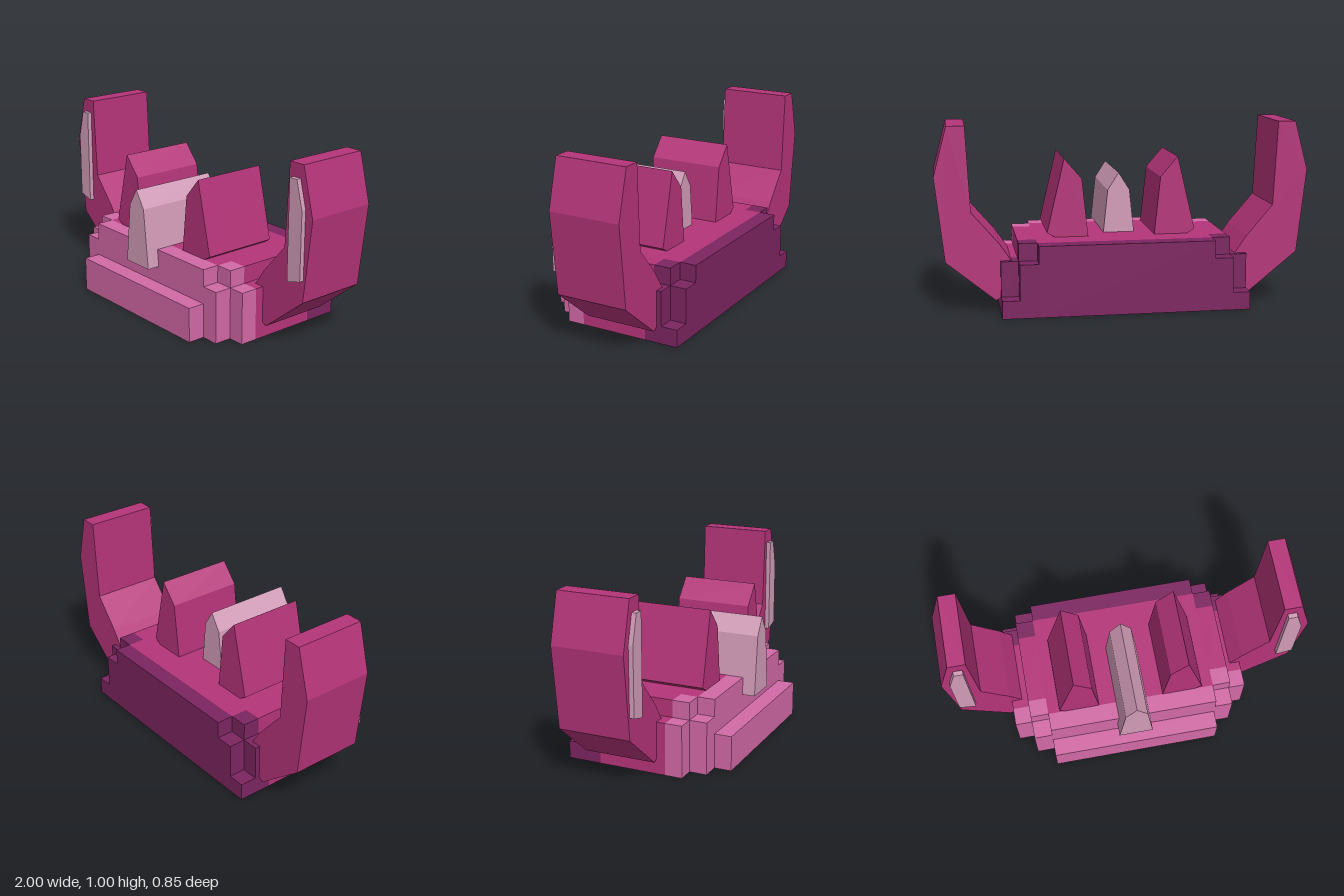
import * as THREE from 'three';

const mat = (name, color) => {
  const m = new THREE.MeshStandardMaterial({ color });
  m.name = name;
  return m;
};

export function createModel() {
  const magenta = mat('magenta', 0xb43479);
  const pink = mat('pink', 0xd269a6);
  const plum = mat('plum', 0x7c2460);
  const mauve = mat('paleMauve', 0xd29cb8);

  const model = new THREE.Group();
  model.name = 'crown';
  const BOTTOM = 0.384, SHOULDER = 0.67, TOP = 0.765;

  function part(name) {
    const g = new THREE.Group();
    g.name = name;
    model.add(g);
    return g;
  }

  // Block given by its limits
  function block(parent, name, material, x0, x1, y0, y1, z0, z1) {
    const mesh = new THREE.Mesh(new THREE.BoxGeometry(x1 - x0, y1 - y0, z1 - z0), material);
    mesh.position.set((x0 + x1) / 2, (y0 + y1) / 2, (z0 + z1) / 2);
    mesh.name = name;
    parent.add(mesh);
  }

  // The same block on both sides
  function blockPair(parent, name, material, x0, x1, y0, y1, z0, z1) {
    block(parent, name + 'Left', material, x0, x1, y0, y1, z0, z1);
    block(parent, name + 'Right', material, -x1, -x0, y0, y1, z0, z1);
  }

  // Front outline pushed along z
  function prism(parent, name, material, points, z0, z1, side = 1) {
    const shape = new THREE.Shape(points.map(([x, y]) => new THREE.Vector2(x * side, y)));
    const geometry = new THREE.ExtrudeGeometry(shape, { depth: z1 - z0, bevelEnabled: false });
    geometry.translate(0, 0, z0);
    const mesh = new THREE.Mesh(geometry, material);
    mesh.name = name;
    parent.add(mesh);
  }

  // Central body
  const body = part('body');
  block(body, 'bodyCore', magenta, -0.47, 0.47, BOTTOM, TOP, -0.335, 0.235);
  blockPair(body, 'bodyFlank', magenta, 0.47, 0.57, BOTTOM, TOP, -0.24, 0.14);
  blockPair(body, 'bodySide', magenta, 0.57, 0.663, BOTTOM, SHOULDER, -0.24, 0.14);

  // Stepped front rim
  const front = part('frontRim');
  block(front, 'frontLip', pink, -0.47, 0.47, BOTTOM, 0.575, 0.332, 0.427);
  block(front, 'frontPanel', pink, -0.47, 0.47, BOTTOM, TOP, 0.235, 0.332);
  blockPair(front, 'frontStep', pink, 0.47, 0.57, BOTTOM, SHOULDER, 0.235, 0.332);
  blockPair(front, 'frontCorner', pink, 0.47, 0.57, BOTTOM, TOP, 0.14, 0.235);
  blockPair(front, 'frontOuterCorner', pink, 0.57, 0.663, BOTTOM, SHOULDER, 0.14, 0.235);

  // Stepped back rim
  const back = part('backRim');
  block(back, 'backPanel', plum, -0.47, 0.47, BOTTOM, TOP, -0.427, -0.335);
  blockPair(back, 'backStep', plum, 0.47, 0.57, BOTTOM, SHOULDER, -0.427, -0.335);
  blockPair(back, 'backFoot', plum, 0.57, 0.663, BOTTOM, 0.48, -0.427, -0.335);
  blockPair(back, 'backCorner', plum, 0.47, 0.57, BOTTOM, TOP, -0.335, -0.24);
  blockPair(back, 'backOuterCorner', plum, 0.57, 0.663, BOTTOM, SHOULDER, -0.335, -0.24);

  // Side horns, their pale front plates and the two inner spikes
  const horn = [[0.93, 1.383], [0.835, 1.383], [0.812, 0.93], [0.67, 0.765], [0.605, 0.67],
    [0.605, 0.5], [0.69, 0.457], [0.95, 0.67], [1, 1.12]];
  const plate = [[0.91, 1.31], [0.86, 1.31], [0.86, 0.765], [0.95, 0.79], [0.95, 1.16]];
  const spike = [[0.31, 1.19], [0.215, 1.08], [0.18, 0.75], [0.34, 0.75], [0.405, 0.79]];
  for (const [label, side] of [['left', 1], ['right', -1]]) {
    const horns = part(label + 'Horns');
    prism(horns, label + 'SideHorn', magenta, horn, -0.308, 0.092, side);
    prism(horns, label + 'HornPlate', mauve, plate, 0.08, 0.117, side);
    prism(horns, label + 'Spike', magenta, spike, -0.195, 0.235, side);
  }

  // Pale centre spike overhanging the front
  prism(model, 'centreSpike', mauve,
    [[0, 1.095], [-0.06, 1.0], [-0.095, 0.67], [0.095, 0.67], [0.06, 1.0]], -0.098, 0.403);

  return model;
}
